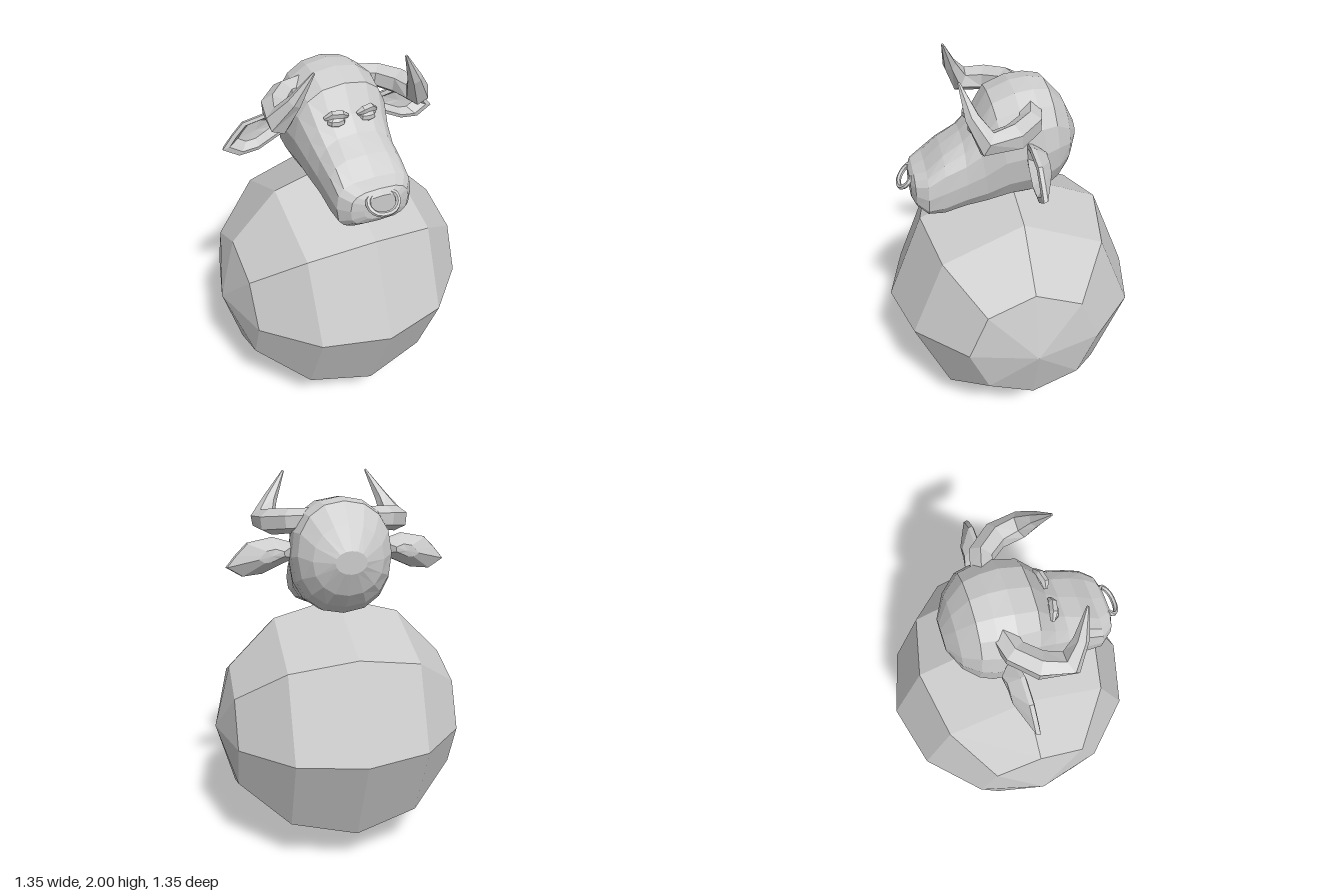
import * as THREE from 'three';

const material = new THREE.MeshStandardMaterial({ color: 0xcccccc, flatShading: true });

function addMesh(parent, name, geometry) {
  const mesh = new THREE.Mesh(geometry, material);
  mesh.name = name;
  parent.add(mesh);
  return mesh;
}

// Closed skin over a row of rings with equal point counts, faced outward
function loft(rings) {
  const tris = [];
  const n = rings[0].length;
  for (let i = 0; i < rings.length - 1; i++) {
    for (let j = 0; j < n; j++) {
      const k = (j + 1) % n;
      const a = rings[i][j], b = rings[i][k], c = rings[i + 1][k], d = rings[i + 1][j];
      tris.push([a, b, c], [a, c, d]);
    }
  }
  const centre = ring => ring.reduce((s, p) => s.add(p), new THREE.Vector3()).divideScalar(n);
  const first = rings[0], last = rings[rings.length - 1];
  const c0 = centre(first), c1 = centre(last);
  for (let j = 0; j < n; j++) {
    const k = (j + 1) % n;
    tris.push([c0, first[k], first[j]], [c1, last[j], last[k]]);
  }
  const volume = tris.reduce((s, [a, b, c]) => s + a.clone().sub(c0).dot(
    b.clone().sub(c0).cross(c.clone().sub(c0))), 0);
  if (volume < 0) tris.forEach(t => t.reverse());
  const geometry = new THREE.BufferGeometry().setFromPoints(tris.flat());
  geometry.computeVertexNormals();
  return geometry;
}

// Tapering limb: each station is [x, y, z, radius]
function taperedTube(stations, sides) {
  const pts = stations.map(s => new THREE.Vector3(s[0], s[1], s[2]));
  let normal = new THREE.Vector3(0, 1, 0);
  return loft(pts.map((p, i) => {
    const next = pts[Math.min(i + 1, pts.length - 1)];
    const tangent = next.clone().sub(pts[Math.max(i - 1, 0)]).normalize();
    normal = normal.clone().addScaledVector(tangent, -normal.dot(tangent)).normalize();
    const side = tangent.clone().cross(normal);
    return Array.from({ length: sides }, (_, j) => {
      const a = (j / sides) * Math.PI * 2, r = stations[i][3];
      return p.clone().addScaledVector(normal, Math.cos(a) * r).addScaledVector(side, Math.sin(a) * r);
    });
  }));
}

// Skull sections from muzzle to back: top z, top y, bottom z, bottom y, half width, squareness
const skullSections = [
  [0.515, 1.45, 0.515, 1.33, 0.09, 0.7],
  [0.495, 1.478, 0.495, 1.3, 0.15, 0.65],
  [0.435, 1.505, 0.445, 1.262, 0.195, 0.6],
  [0.35, 1.58, 0.365, 1.247, 0.2, 0.65],
  [0.25, 1.645, 0.25, 1.265, 0.207, 0.75],
  [0.185, 1.715, 0.14, 1.28, 0.22, 0.75],
  [0.11, 1.84, 0.02, 1.3, 0.245, 0.8],
  [0, 1.885, -0.08, 1.305, 0.262, 0.85],
  [-0.09, 1.895, -0.165, 1.315, 0.26, 0.9],
  [-0.17, 1.88, -0.22, 1.36, 0.24, 0.9],
  [-0.26, 1.78, -0.275, 1.43, 0.18, 0.95],
  [-0.32, 1.66, -0.32, 1.545, 0.08, 1],
];

function skullRing([topZ, topY, bottomZ, bottomY, width, power]) {
  const bend = v => Math.sign(v) * Math.pow(Math.abs(v), power);
  return Array.from({ length: 16 }, (_, j) => {
    const a = (j / 16) * Math.PI * 2;
    const t = (1 + bend(Math.sin(a))) / 2;
    return new THREE.Vector3(width * bend(Math.cos(a)),
      THREE.MathUtils.lerp(bottomY, topY, t), THREE.MathUtils.lerp(bottomZ, topZ, t));
  });
}

// Ear rim in x, y; the rings run from the back, around the rim, into the hollow
const earRim = [[0.22, 1.66], [0.34, 1.695], [0.47, 1.67], [0.53, 1.61], [0.58, 1.55],
  [0.5, 1.5], [0.4, 1.51], [0.29, 1.56], [0.22, 1.59]];
function earGeometry(side) {
  const ring = (scale, z, cx, cy) => earRim.map(([x, y]) => new THREE.Vector3(
    side * (cx + (x - cx) * scale), cy + (y - cy) * scale, z - 0.1 * Math.max(0, 0.34 - x)));
  return loft([ring(0.35, -0.105, 0.33, 1.62), ring(0.96, -0.045, 0.4, 1.6),
    ring(1, -0.025, 0.4, 1.6), ring(0.8, -0.02, 0.41, 1.6), ring(0.5, -0.06, 0.4, 1.6)]);
}

export function createModel() {
  const model = new THREE.Group();
  model.name = 'bullOnBall';

  // Faceted ball with its poles at the sides
  const ball = new THREE.SphereGeometry(0.676, 8, 6).rotateZ(Math.PI / 2);
  ball.translate(0, 0.68, 0);
  addMesh(model, 'ballBody', ball);

  const head = new THREE.Group();
  head.name = 'head';
  model.add(head);
  addMesh(head, 'skull', loft(skullSections.map(skullRing)));

  for (const side of [1, -1]) {
    const label = side > 0 ? 'left' : 'right';

    // Horn sweeping outward, forward and up
    addMesh(head, label + 'Horn', taperedTube([
      [0.15, 1.78, -0.07, 0.06], [0.25, 1.775, -0.045, 0.062], [0.335, 1.76, 0.05, 0.066],
      [0.36, 1.755, 0.18, 0.064], [0.305, 1.86, 0.235, 0.036], [0.227, 1.997, 0.276, 0.006],
    ].map(([x, y, z, r]) => [side * x, y, z, r]), 6));

    addMesh(head, label + 'Ear', earGeometry(side));

    // Eyeball under a sloping lid
    const eye = addMesh(head, label + 'Eye', new THREE.SphereGeometry(1, 8, 5));
    eye.scale.set(0.048, 0.03, 0.032);
    eye.position.set(side * 0.08, 1.695, 0.19);
    const lid = addMesh(head, label + 'Eyelid',
      taperedTube([[0.025, 1.715, 0.19, 0.01], [0.055, 1.73, 0.195, 0.02], [0.1, 1.732, 0.185, 0.02],
        [0.135, 1.71, 0.17, 0.01]].map(([x, y, z, r]) => [side * x, y, z, r]), 5));
    lid.position.z = 0.005;
  }

  // Open ring through the nose
  const ringPath = new THREE.CatmullRomCurve3([
    [-0.035, 1.455, 0.49], [-0.07, 1.445, 0.508], [-0.075, 1.415, 0.535], [-0.04, 1.387, 0.563],
    [0.04, 1.387, 0.563], [0.075, 1.415, 0.535], [0.07, 1.445, 0.508], [0.035, 1.455, 0.49],
  ].map(p => new THREE.Vector3(...p)));
  addMesh(head, 'noseRing', new THREE.TubeGeometry(ringPath, 16, 0.013, 6));

  return model;
}
